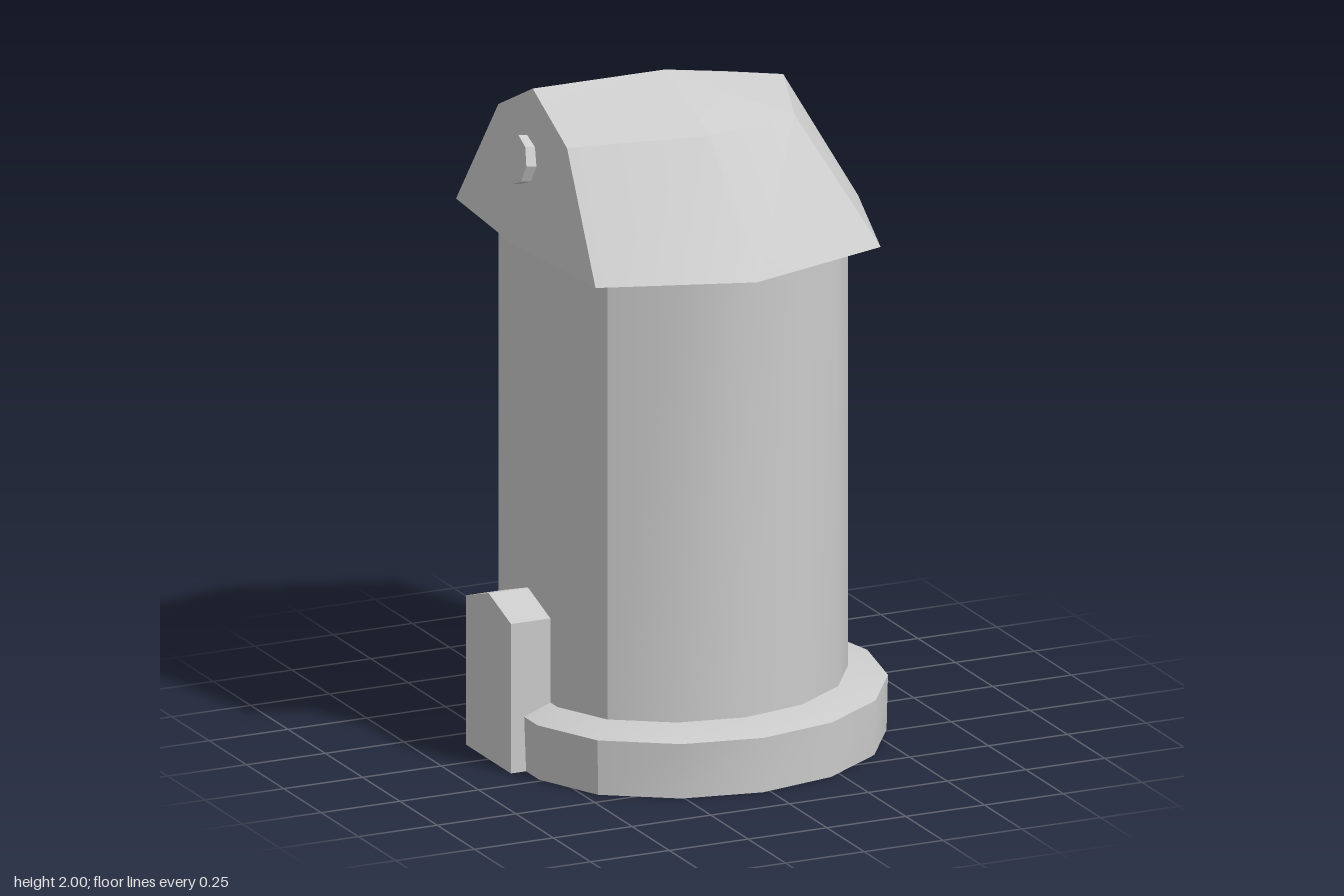
import * as THREE from 'three';
import { toCreasedNormals } from 'three/addons/utils/BufferGeometryUtils.js';

const material = new THREE.MeshStandardMaterial({ color: 0xcccccc });

// Skin stacked rings of [x, y, z] points and close both ends with fans.
function loft(rings, bottom, top) {
  const n = rings[0].length;
  const points = [...rings.flat(), bottom, top];
  const bottomId = points.length - 2, topId = points.length - 1;
  const last = (rings.length - 1) * n;
  const index = [];
  for (let i = 0; i < n; i++) {
    const j = (i + 1) % n;
    for (let r = 0; r < last; r += n) {
      index.push(r + i, r + n + i, r + j, r + j, r + n + i, r + n + j);
    }
    index.push(bottomId, i, j, topId, last + j, last + i);
  }
  const geometry = new THREE.BufferGeometry();
  geometry.setAttribute('position', new THREE.Float32BufferAttribute(points.flat(), 3));
  geometry.setIndex(index);
  return toCreasedNormals(geometry, 0.5);
}

// Sixteen-sided ring whose -x side is cut flat.
function flatRing(centerX, radius, y, flatX) {
  return Array.from({ length: 16 }, (_, i) => {
    const a = (i / 16) * Math.PI * 2;
    return [Math.max(flatX, centerX + radius * Math.cos(a)), y, radius * Math.sin(a)];
  });
}

// Complete an eight-point ring from its +z half, given from +x to -x.
function mirrorRing(half) {
  return [...half, ...half.slice(1, -1).reverse().map(([x, y, z]) => [x, y, -z])];
}

export function createModel() {
  const group = new THREE.Group();
  const add = (name, geometry) => {
    const mesh = new THREE.Mesh(geometry, material);
    mesh.name = name;
    group.add(mesh);
    return mesh;
  };

  // Plinth with a sloped shoulder
  add('base', loft([
    flatRing(-0.022, 0.62, 0, -0.552),
    flatRing(-0.022, 0.624, 0.165, -0.558),
    flatRing(-0.03, 0.517, 0.197, -0.475),
  ], [0, 0, 0], [0, 0.197, 0]));

  // Tower shaft
  add('towerBody', loft([
    flatRing(-0.03, 0.517, 0.19, -0.475),
    flatRing(-0.03, 0.517, 1.56, -0.475),
  ], [0, 0.19, 0], [0, 1.56, 0]));

  // Hood roof: eaves, upper break line and ridge
  const eaves = mirrorRing([
    [0.573, 1.537, 0], [0.423, 1.537, 0.467], [-0.04, 1.537, 0.617],
    [-0.482, 1.537, 0.467], [-0.52, 1.537, 0],
  ]);
  const upper = mirrorRing([
    [0.335, 1.935, 0], [0.263, 1.887, 0.23], [-0.04, 1.887, 0.3],
    [-0.46, 1.887, 0.23], [-0.46, 2, 0],
  ]);
  add('roof', loft([eaves, upper], [-0.04, 1.537, 0], [-0.04, 2, 0]));

  // Hub on the upright end of the roof, square to the leaning wall
  const hub = add('hub', toCreasedNormals(new THREE.CylinderGeometry(0.073, 0.073, 0.06, 8), 0.5));
  hub.position.set(-0.485, 1.79, 0);
  hub.rotation.z = Math.PI / 2 - 0.13;

  // Gabled doorway at the foot of the flat side
  const outline = new THREE.Shape([
    [-0.15, 0], [0.15, 0], [0.15, 0.45], [0, 0.5], [-0.15, 0.45],
  ].map(([x, y]) => new THREE.Vector2(x, y)));
  const door = add('doorway', new THREE.ExtrudeGeometry(outline, { depth: 0.15, bevelEnabled: false }));
  door.rotation.y = -Math.PI / 2;
  door.position.x = -0.45;

  return group;
}
